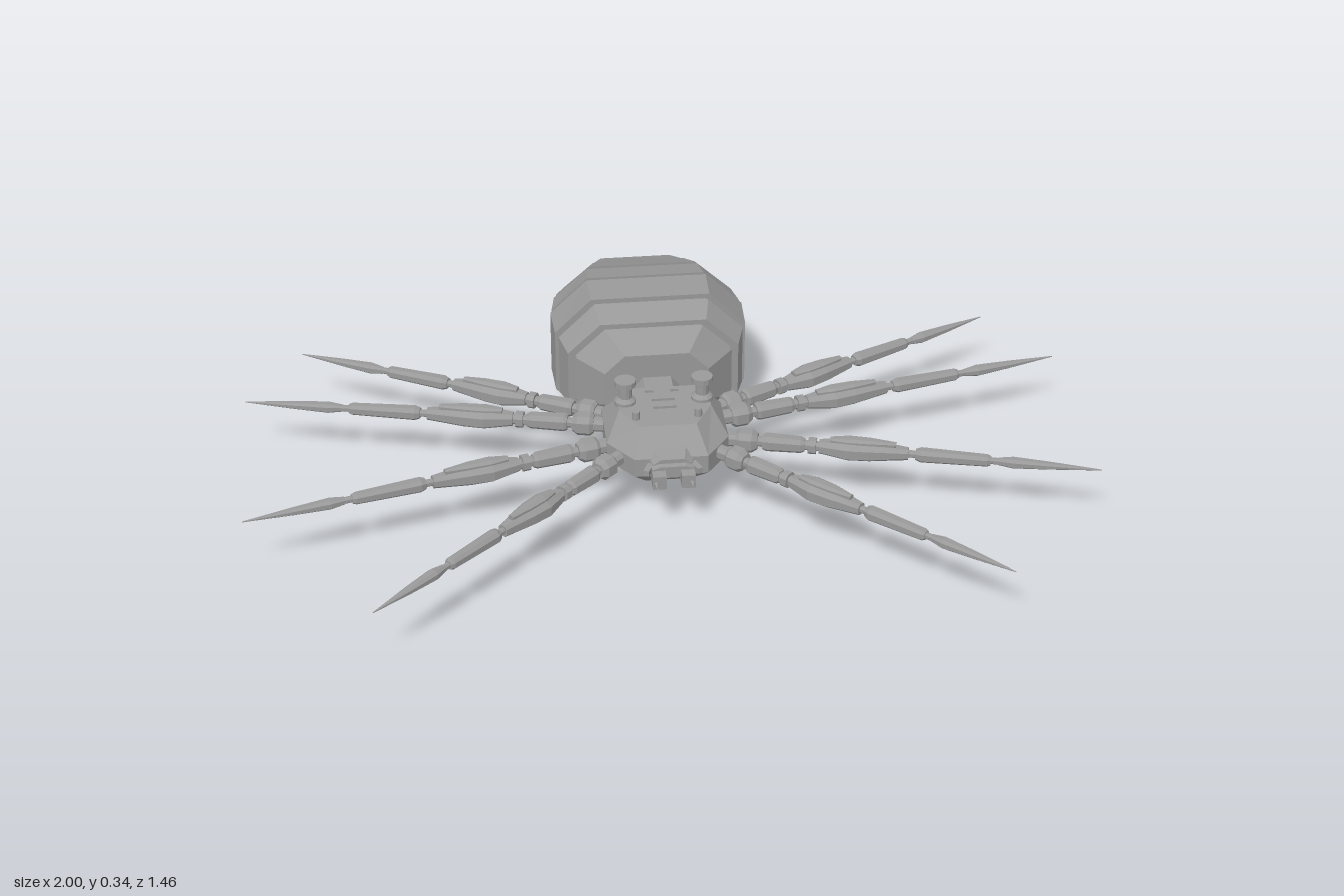
import * as THREE from 'three';

const steel = new THREE.MeshStandardMaterial({ color: 0x999999 });
steel.name = 'steel grey';
steel.flatShading = true;

// Closed skin over a row of rings, each counter-clockwise seen from +z
function loft(rings) {
  const pos = [];
  const tri = (...pts) => pts.forEach((p) => pos.push(p[0], p[1], p[2]));
  const n = rings[0].length;
  for (let k = 0; k + 1 < rings.length; k++) {
    const r = rings[k], s = rings[k + 1];
    for (let i = 0; i < n; i++) {
      const j = (i + 1) % n;
      tri(r[i], r[j], s[j]);
      tri(r[i], s[j], s[i]);
    }
  }
  const first = rings[0], last = rings[rings.length - 1];
  for (let i = 1; i + 1 < n; i++) {
    tri(first[0], first[i + 1], first[i]);
    tri(last[0], last[i], last[i + 1]);
  }
  const g = new THREE.BufferGeometry();
  g.setAttribute('position', new THREE.Float32BufferAttribute(pos, 3));
  g.computeVertexNormals();
  return g;
}

// Chamfered rectangle: half width w, from y0 to y1, flat shares fx and fy
function octagon(z, w, y0, y1, fx = 0.62, fy = 0.48) {
  const c = (y0 + y1) / 2, h = (y1 - y0) / 2;
  return [[1, -fy], [1, fy], [fx, 1], [-fx, 1], [-1, fy], [-1, -fy], [-fx, -1], [fx, -1]]
    .map(([x, y]) => [x * w, c + y * h, z]);
}

function add(parent, name, geometry, x = 0, y = 0, z = 0) {
  const m = new THREE.Mesh(geometry, steel);
  m.name = name;
  m.position.set(x, y, z);
  parent.add(m);
  return m;
}

// Leg section from [z, half width, half height] stations
const legPart = (stations, fx = 0.5, fy = 0.5) =>
  loft(stations.map(([z, w, h]) => octagon(z, w, -h, h, fx, fy)));

function makeLeg(length) {
  const leg = new THREE.Group();
  const at = (list) => list.map(([t, w, h]) => [t * length, w, h]);
  add(leg, 'hipJoint', legPart(at([[-0.06, 0.016, 0.016], [0.0, 0.016, 0.016]])));
  add(leg, 'hip', legPart(at([[0, 0.02, 0.02], [0.01, 0.026, 0.026], [0.045, 0.026, 0.026], [0.06, 0.018, 0.018]])));
  add(leg, 'hipPin', legPart(at([[0.05, 0.011, 0.011], [0.24, 0.011, 0.011]])));
  add(leg, 'upperLeg', legPart(at([[0.075, 0.017, 0.017], [0.085, 0.02, 0.02], [0.18, 0.018, 0.018], [0.19, 0.014, 0.014]])));
  add(leg, 'kneeRing', legPart(at([[0.2, 0.018, 0.018], [0.222, 0.018, 0.018]])));
  add(leg, 'thigh', legPart(at([[0.23, 0.016, 0.015], [0.31, 0.031, 0.023], [0.37, 0.027, 0.022], [0.475, 0.013, 0.014]])));
  // Raised armour on the thigh
  add(leg, 'thighArmour', legPart(at([[0.26, 0.009, 0.006], [0.31, 0.017, 0.01], [0.37, 0.015, 0.01], [0.44, 0.007, 0.006]])), 0, 0.021, 0);
  add(leg, 'anklePin', legPart(at([[0.46, 0.008, 0.008], [0.75, 0.007, 0.007]])));
  add(leg, 'shin', legPart(at([[0.495, 0.012, 0.012], [0.51, 0.017, 0.016], [0.69, 0.014, 0.013], [0.7, 0.01, 0.01]])));
  add(leg, 'claw', legPart(at([[0.72, 0.008, 0.008], [0.76, 0.014, 0.012], [0.86, 0.01, 0.008], [1, 0.001, 0.001]])));
  return leg;
}

export function createModel() {
  const model = new THREE.Group();
  model.name = 'mechanicalSpider';

  // Abdomen plates: [rear z, half width, y0, y1, front z, half width, y0, y1]
  const plates = [
    [-0.735, 0.088, 0.105, 0.195, -0.663, 0.126, 0.08, 0.235],
    [-0.647, 0.143, 0.075, 0.245, -0.572, 0.18, 0.048, 0.275],
    [-0.553, 0.187, 0.045, 0.285, -0.481, 0.217, 0.027, 0.314],
    [-0.463, 0.224, 0.022, 0.318, -0.385, 0.236, 0.006, 0.335],
    [-0.369, 0.24, 0.002, 0.338, -0.27, 0.236, 0.001, 0.338],
    [-0.254, 0.228, 0.003, 0.332, -0.198, 0.21, 0.018, 0.307],
    [-0.184, 0.192, 0.024, 0.298, -0.118, 0.127, 0.083, 0.262],
  ];
  const abdomen = new THREE.Group();
  abdomen.name = 'abdomen';
  model.add(abdomen);
  const core = [];
  for (const [za, wa, a0, a1, zb, wb, b0, b1] of plates) {
    add(abdomen, 'abdomenPlate', loft([octagon(za, wa, a0, a1), octagon(zb, wb, b0, b1)]));
    core.push(octagon(za + 0.005, wa - 0.014, a0 + 0.011, a1 - 0.011), octagon(zb - 0.005, wb - 0.014, b0 + 0.011, b1 - 0.011));
  }
  add(abdomen, 'abdomenCore', loft(core));
  // Recessed tail rim
  add(abdomen, 'tailCap', loft([octagon(-0.738, 0.06, 0.125, 0.175), octagon(-0.73, 0.06, 0.125, 0.175)]));

  // Waist
  add(model, 'waist', loft([octagon(-0.13, 0.055, 0.1, 0.2), octagon(-0.05, 0.055, 0.1, 0.2)]));

  // Thorax: stacked plans, [height, half width, back z, front z]
  const plan = ([y, w, b, f]) => [
    [w, -f + 0.08, y], [w, -b - 0.045, y], [w * 0.77, -b, y], [-w * 0.77, -b, y],
    [-w, -b - 0.045, y], [-w, -f + 0.08, y], [-w * 0.6, -f, y], [w * 0.6, -f, y],
  ];
  const thorax = loft([
    [0.067, 0.09, -0.012, 0.135], [0.125, 0.145, -0.075, 0.205],
    [0.172, 0.145, -0.075, 0.205], [0.225, 0.11, -0.03, 0.145],
  ].map(plan)).rotateX(-Math.PI / 2);
  add(model, 'thorax', thorax);

  // Vents along the back
  for (const z of [0.03, 0.065]) add(model, 'backVent', new THREE.BoxGeometry(0.055, 0.008, 0.008), 0, 0.227, z);

  // Head
  add(model, 'snout', loft([octagon(0.18, 0.06, 0.115, 0.19), octagon(0.225, 0.045, 0.13, 0.18)]));
  add(model, 'mouth', loft([octagon(0.21, 0.052, 0.14, 0.172), octagon(0.238, 0.048, 0.145, 0.168)]));

  // Leg hips and tips: [hip x, hip z, tip x, tip z]
  const legs = [
    [0.14, 0.18, 0.71, 0.722], [0.165, 0.11, 0.998, 0.337],
    [0.165, 0.005, 0.998, -0.187], [0.155, -0.045, 0.86, -0.4],
  ];

  for (const side of [1, -1]) {
    const label = side > 0 ? 'left' : 'right';
    add(model, 'backVent', new THREE.BoxGeometry(0.02, 0.008, 0.008), side * 0.03, 0.227, -0.01);

    // Stalk with a wide cap
    const stalk = new THREE.LatheGeometry([
      [0, 0], [0.026, 0], [0.026, 0.012], [0.016, 0.02], [0.016, 0.046],
      [0.026, 0.052], [0.026, 0.066], [0, 0.066],
    ].map(([x, y]) => new THREE.Vector2(x, y)), 12);
    add(model, label + 'Stalk', stalk, side * 0.092, 0.22, 0.03);
    add(model, label + 'Knob', new THREE.CylinderGeometry(0.009, 0.011, 0.05, 8), side * 0.074, 0.22, 0.108);

    // Jaw and fang
    add(model, label + 'Jaw', new THREE.BoxGeometry(0.032, 0.034, 0.06), side * 0.034, 0.142, 0.235);
    const fang = new THREE.ConeGeometry(0.01, 0.04, 6).rotateX(Math.PI / 2);
    add(model, label + 'Fang', fang, side * 0.042, 0.14, 0.268);
    const feeler = new THREE.BoxGeometry(0.014, 0.014, 0.04);
    add(model, label + 'Feeler', feeler, side * 0.056, 0.155, 0.222).rotation.y = side * 0.4;

    legs.forEach(([hx, hz, tx, tz], i) => {
      const leg = makeLeg(Math.hypot(tx - hx, tz - hz));
      leg.name = label + 'Leg' + (i + 1);
      leg.position.set(side * hx, 0.153, hz);
      leg.rotation.y = Math.atan2(side * (tx - hx), tz - hz);
      model.add(leg);
    });
  }
  return model;
}
